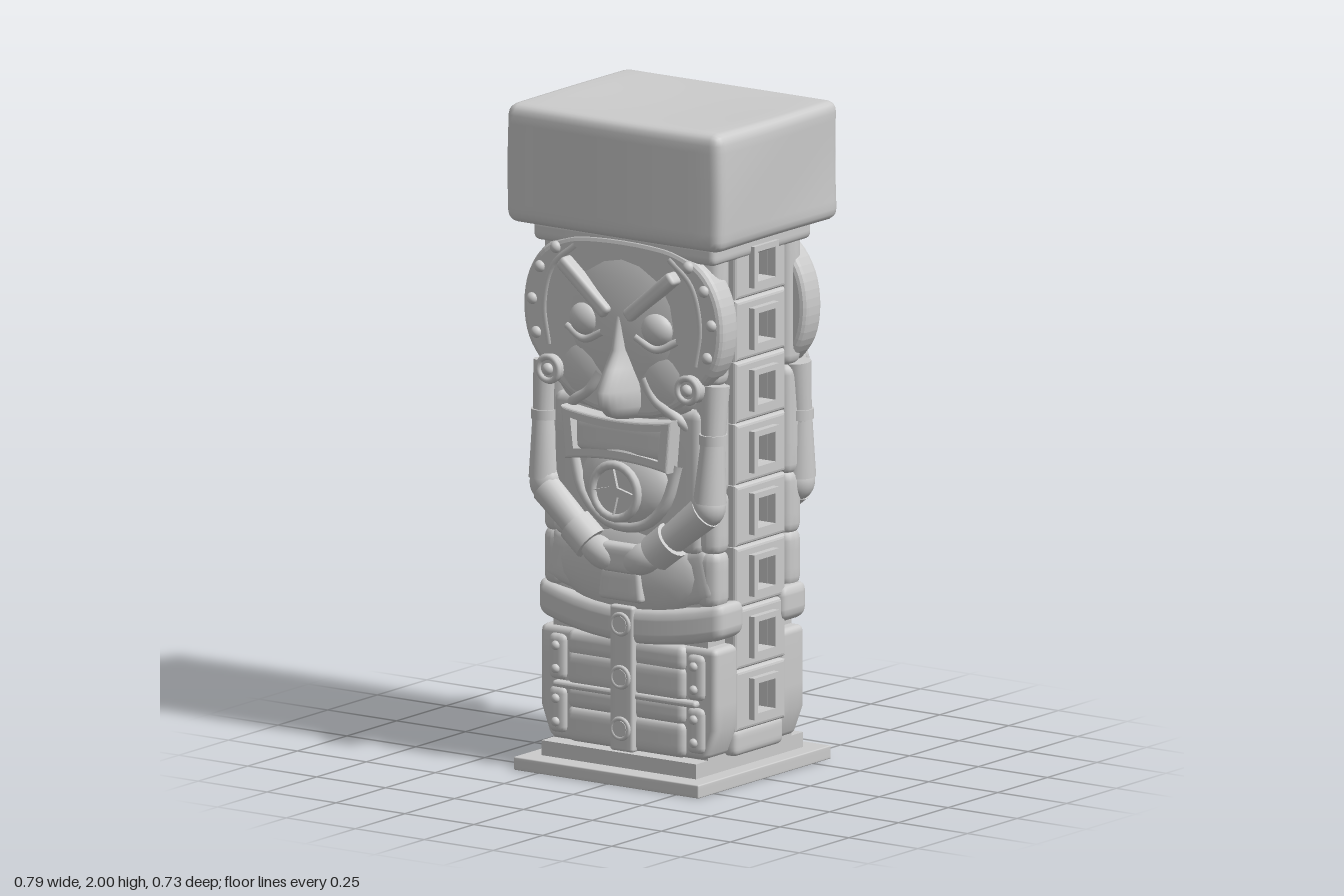
import * as THREE from 'three';
import { mergeVertices } from 'three/addons/utils/BufferGeometryUtils.js';

const mat = new THREE.MeshStandardMaterial({ color: 0xcccccc, side: THREE.DoubleSide });
const V = (x, y, z) => new THREE.Vector3(x, y, z);

function add(parent, name, geo, x = 0, y = 0, z = 0, rz = 0) {
  const m = new THREE.Mesh(geo, mat);
  m.name = name;
  m.position.set(x, y, z);
  m.rotation.z = rz;
  parent.add(m);
  return m;
}

// Box with worn, rounded edges; bend(p) may push the vertices further
function softBox(w, h, d, r = 0.02, bend = null, n = 8) {
  let g = new THREE.BoxGeometry(2, 2, 2, n, n, n);
  g.deleteAttribute('uv');
  g.deleteAttribute('normal');
  g = mergeVertices(g);
  const inner = V(w / 2 - r, h / 2 - r, d / 2 - r), p = V(), c = V();
  const pos = g.attributes.position, k = 1 - 4 / n;
  // The two outermost grid cells on each side form the rounding
  const spread = (t, flat) => Math.sign(t) * (Math.abs(t) > k
    ? flat + r * (Math.abs(t) - k) / (1 - k) : flat * Math.abs(t) / k);
  for (let i = 0; i < pos.count; i++) {
    p.fromBufferAttribute(pos, i);
    p.set(spread(p.x, inner.x), spread(p.y, inner.y), spread(p.z, inner.z));
    c.copy(p).clamp(inner.clone().negate(), inner);
    p.sub(c).setLength(r).add(c);
    if (bend) bend(p);
    pos.setXYZ(i, p.x, p.y, p.z);
  }
  g.computeVertexNormals();
  return g;
}

const ball = (rx, ry, rz) => new THREE.SphereGeometry(1, 20, 12).scale(rx, ry, rz);
const ring = (r, t) => new THREE.TorusGeometry(r, t, 8, 24);
const disc = (r, d) => new THREE.CylinderGeometry(r * 0.93, r, d, 24).rotateX(Math.PI / 2);
const path = (pts) => new THREE.CatmullRomCurve3(pts.map((p) => V(...p)));
const tube = (pts, r) => new THREE.TubeGeometry(path(pts), 20, r, 10);

function plate(shape, depth, bevel) {
  return new THREE.ExtrudeGeometry(shape, {
    depth, bevelEnabled: bevel > 0, bevelSize: bevel, bevelThickness: bevel,
    bevelOffset: -bevel, bevelSegments: 3, curveSegments: 16,
  });
}

function rect(w, h, Kind = THREE.Shape) {
  return new Kind([[-w, -h], [w, -h], [w, h], [-w, h]].map(([x, y]) => new THREE.Vector2(x / 2, y / 2)));
}

// Tapered limb between two points
function limb(parent, name, a, b, ra, rb) {
  const from = V(...a), to = V(...b), dir = to.clone().sub(from);
  const m = add(parent, name, new THREE.CylinderGeometry(rb, ra, dir.length(), 18));
  m.position.copy(from).addScaledVector(dir, 0.5);
  m.quaternion.setFromUnitVectors(V(0, 1, 0), dir.normalize());
}

// Nose lofted from arched sections: height, half width, front
function noseGeometry() {
  const rows = [[1.46, 0.03, 0.26], [1.38, 0.045, 0.28], [1.3, 0.06, 0.293], [1.25, 0.075, 0.325],
    [1.185, 0.09, 0.366], [1.135, 0.095, 0.352], [1.105, 0.08, 0.318], [1.085, 0.05, 0.26]];
  const n = 16, pos = [], idx = [];
  rows.forEach(([y, w, front], j) => {
    for (let i = 0; i <= n; i++) {
      const t = (i / n) * 2 - 1;
      pos.push(t * w, y, 0.2 + (front - 0.2) * Math.max(0, Math.cos(t * Math.PI / 2)) ** 1.1);
      if (j && i) {
        const a = (j - 1) * (n + 1) + i - 1, b = a + n + 1;
        idx.push(a, b, a + 1, b, b + 1, a + 1);
      }
    }
  });
  const g = new THREE.BufferGeometry();
  g.setAttribute('position', new THREE.Float32BufferAttribute(pos, 3));
  g.setIndex(idx);
  g.computeVertexNormals();
  return g;
}

// Mouth outline, waisted in the middle
function mouthPath(Kind, w, top, mid) {
  const s = new Kind();
  s.moveTo(-w, top);
  s.quadraticCurveTo(0, mid, w, top);
  s.lineTo(w * 0.93, -top);
  s.quadraticCurveTo(0, -mid, -w * 0.93, -top);
  s.closePath();
  return s;
}

function buildFace() {
  const f = new THREE.Group();
  // Mask with two broad round lobes
  const half = [[0.1, 1.63], [0.2, 1.615], [0.29, 1.57], [0.345, 1.49], [0.363, 1.39], [0.345, 1.29], [0.29, 1.215], [0.2, 1.14], [0.1, 1.1]];
  const outline = [...half, ...half.map(([x, y]) => [-x, y]).reverse()].map(([x, y]) => V(x, y, 0));
  const mask = new THREE.Shape(new THREE.CatmullRomCurve3(outline, true)
    .getPoints(72).slice(0, -1).map((p) => new THREE.Vector2(p.x, p.y)));
  add(f, 'maskPlate', plate(mask, 0.05, 0.02), 0, 0, 0.185);
  add(f, 'faceDome', ball(0.275, 0.27, 0.07), 0, 1.38, 0.205);
  add(f, 'nose', noseGeometry());

  // Mouth and chin
  const lips = mouthPath(THREE.Shape, 0.2, 0.08, 0.045);
  lips.holes.push(mouthPath(THREE.Path, 0.172, 0.055, 0.028));
  add(f, 'lips', plate(lips, 0.055, 0.008), 0, 1.03, 0.225);
  add(f, 'mouthHollow', softBox(0.34, 0.11, 0.04), 0, 1.03, 0.238);
  add(f, 'chin', ball(0.165, 0.135, 0.07), 0, 0.89, 0.215);
  add(f, 'chinRim', tube([[-0.19, 0.97, 0.235], [-0.15, 0.85, 0.24], [-0.08, 0.78, 0.24], [0, 0.762, 0.24], [0.08, 0.78, 0.24], [0.15, 0.85, 0.24], [0.19, 0.97, 0.235]], 0.018));
  add(f, 'emblemDisc', disc(0.08, 0.05), 0, 0.875, 0.265);
  add(f, 'emblemRing', ring(0.08, 0.014), 0, 0.875, 0.288);
  const star = new THREE.Shape();
  for (let i = 0; i < 8; i++) {
    const r = i % 2 ? 0.02 : 0.07, a = i * Math.PI / 4;
    star[i ? 'lineTo' : 'moveTo'](r * Math.cos(a), r * Math.sin(a));
  }
  add(f, 'emblemStar', plate(star, 0.015, 0), 0, 0.875, 0.285);

  // Chest, belly and clasp
  add(f, 'chest', softBox(0.54, 0.44, 0.08, 0.03), 0, 0.92, 0.195);
  add(f, 'belly', ball(0.27, 0.15, 0.06), 0, 0.63, 0.2);
  add(f, 'clasp', softBox(0.15, 0.1, 0.07, 0.015, (p) => { p.x *= 1 - p.y * 1.5; }), 0, 0.59, 0.235);
  add(f, 'claspBlock', softBox(0.14, 0.09, 0.09), 0, 0.67, 0.235);

  // Belt with sagging middle, centre strip and skirt
  add(f, 'belt', softBox(0.67, 0.11, 0.13, 0.03, (p) => { p.y += 0.4 * p.x * p.x - 0.01; p.z -= 0.3 * p.x * p.x; }, 14), 0, 0.475, 0.19);
  add(f, 'skirtCore', softBox(0.64, 0.34, 0.12, 0.02, (p) => { if (p.y < -0.1) p.x *= 1 + (p.y + 0.1) * 1.8; }), 0, 0.255, 0.165);
  for (const [y, h] of [[0.385, 0.08], [0.31, 0.11], [0.225, 0.08], [0.14, 0.11]])
    add(f, 'skirtBand', softBox(0.43, h, 0.08, 0.025), 0, y, 0.203);
  add(f, 'skirtHem', softBox(0.52, 0.02, 0.09, 0.009), 0, 0.255, 0.203);
  add(f, 'centreStrip', softBox(0.085, 0.44, 0.05, 0.01), 0, 0.305, 0.235);
  for (const y of [0.47, 0.31, 0.155]) {
    add(f, 'button', disc(0.026, 0.03), 0, y, 0.253);
    add(f, 'buttonRing', ring(0.03, 0.007), 0, y, 0.262);
  }

  for (const s of [-1, 1]) {
    // Eye, lids, brow and cheek
    add(f, 'eye', ball(0.055, 0.05, 0.035), s * 0.13, 1.375, 0.255);
    add(f, 'lowerLid', tube([[s * 0.06, 1.345, 0.267], [s * 0.13, 1.315, 0.263], [s * 0.2, 1.345, 0.25]], 0.012));
    add(f, 'brow', softBox(0.22, 0.042, 0.06, 0.012), s * 0.12, 1.475, 0.265, s * 0.7);
    add(f, 'cheek', ball(0.12, 0.12, 0.045), s * 0.14, 1.22, 0.22);
    add(f, 'cheekFold', tube([[s * 0.08, 1.22, 0.25], [s * 0.12, 1.16, 0.253], [s * 0.18, 1.12, 0.245], [s * 0.22, 1.08, 0.22]], 0.016));
    // Mask edge band with studs
    add(f, 'maskBand', tube([[s * 0.17, 1.59, 0.245], [s * 0.25, 1.52, 0.245], [s * 0.282, 1.4, 0.245], [s * 0.265, 1.28, 0.245]], 0.014));
    for (const [x, y] of [[0.24, 1.575], [0.297, 1.51], [0.325, 1.41], [0.31, 1.31]])
      add(f, 'stud', ball(0.018, 0.018, 0.016), s * x, y, 0.254);
    add(f, 'earBolt', disc(0.045, 0.07), s * 0.252, 1.21, 0.24);
    add(f, 'earRing', ring(0.036, 0.01), s * 0.252, 1.21, 0.274);
    add(f, 'earPin', ball(0.018, 0.018, 0.015), s * 0.252, 1.21, 0.278);

    // Arm folded to the belly
    limb(f, 'upperArm', [s * 0.305, 1.22, 0.205], [s * 0.305, 1.03, 0.22], 0.042, 0.035);
    add(f, 'armBand', new THREE.CylinderGeometry(0.042, 0.042, 0.03, 18), s * 0.305, 1.06, 0.218);
    limb(f, 'lowerSleeve', [s * 0.305, 1.05, 0.22], [s * 0.298, 0.87, 0.225], 0.036, 0.05);
    add(f, 'elbow', ball(0.053, 0.06, 0.05), s * 0.292, 0.855, 0.225);
    limb(f, 'forearm', [s * 0.285, 0.84, 0.228], [s * 0.16, 0.735, 0.24], 0.053, 0.045);
    limb(f, 'cuff', [s * 0.175, 0.745, 0.24], [s * 0.115, 0.695, 0.242], 0.058, 0.058);
    add(f, 'hand', ball(0.075, 0.047, 0.045), s * 0.075, 0.675, 0.25, s * 0.4);
    // Hip flap, side pad and rivets
    add(f, 'hipFlap', softBox(0.16, 0.17, 0.08, 0.03), s * 0.22, 0.63, 0.185, s * 0.25);
    for (const y of [0.335, 0.175]) {
      add(f, 'skirtPad', softBox(0.065, 0.14, 0.08, 0.02), s * 0.25, y, 0.2);
      for (const dy of [-0.035, 0.035]) add(f, 'rivet', ball(0.014, 0.014, 0.012), s * 0.25, y + dy, 0.242);
    }
  }
  return f;
}

function buildSide() {
  const g = new THREE.Group();
  const block = rect(0.25, 0.184), frame = rect(0.125, 0.125);
  block.holes.push(rect(0.09, 0.09, THREE.Path));
  frame.holes.push(rect(0.09, 0.09, THREE.Path));
  const blockGeo = plate(block, 0.025, 0.012), frameGeo = plate(frame, 0.03, 0);
  // Stack of blocks, each with a framed square socket
  for (let i = 0; i < 8; i++) {
    const y = 1.553 - i * 0.186;
    add(g, 'sideBlock', blockGeo, 0, y, 0.285);
    add(g, 'socketFrame', frameGeo, 0, y, 0.312);
  }
  add(g, 'footBlock', softBox(0.25, 0.085, 0.06), 0, 0.125, 0.288);
  // Ribbed corner rolls either side of the blocks
  for (const s of [-1, 1])
    for (const [y, h] of [[1.42, 0.42], [1.05, 0.34], [0.8, 0.2], [0.63, 0.18]])
      add(g, 'cornerRoll', softBox(0.085, h, 0.09, 0.035), s * 0.18, y, 0.275);
  return g;
}

export function createModel() {
  const model = new THREE.Group();
  model.name = 'carvedPillar';
  add(model, 'basePlate', softBox(0.67, 0.04, 0.67, 0.004), 0, 0.02, 0);
  add(model, 'baseStep', new THREE.BoxGeometry(0.56, 0.045, 0.54), 0, 0.0625, 0);
  add(model, 'core', new THREE.BoxGeometry(0.56, 1.57, 0.42), 0, 0.865, 0);
  add(model, 'neck', softBox(0.66, 0.07, 0.5, 0.02), 0, 1.62, 0);
  // Heavy cap stone with a slightly sunken top
  add(model, 'capStone', softBox(0.78, 0.36, 0.62, 0.035, (p) => {
    if (p.y > 0.1) p.y -= 0.012 * Math.cos(p.x * 4) * Math.cos(p.z * 5) * (p.y - 0.1) / 0.08;
    p.x *= 1 + 0.012 * Math.sin(p.y * 9 + p.z * 6);
    p.z *= 1 + 0.012 * Math.sin(p.x * 6 + 1);
  }, 16), 0, 1.82, 0);

  // Same carving on front and back, same block stack on both sides
  ['frontCarving', 'backCarving'].forEach((name, i) => {
    const face = buildFace();
    face.name = name;
    face.rotation.y = i * Math.PI;
    model.add(face);
  });
  ['leftBlocks', 'rightBlocks'].forEach((name, i) => {
    const side = buildSide();
    side.name = name;
    side.rotation.y = (i ? -1 : 1) * Math.PI / 2;
    model.add(side);
  });
  return model;
}
